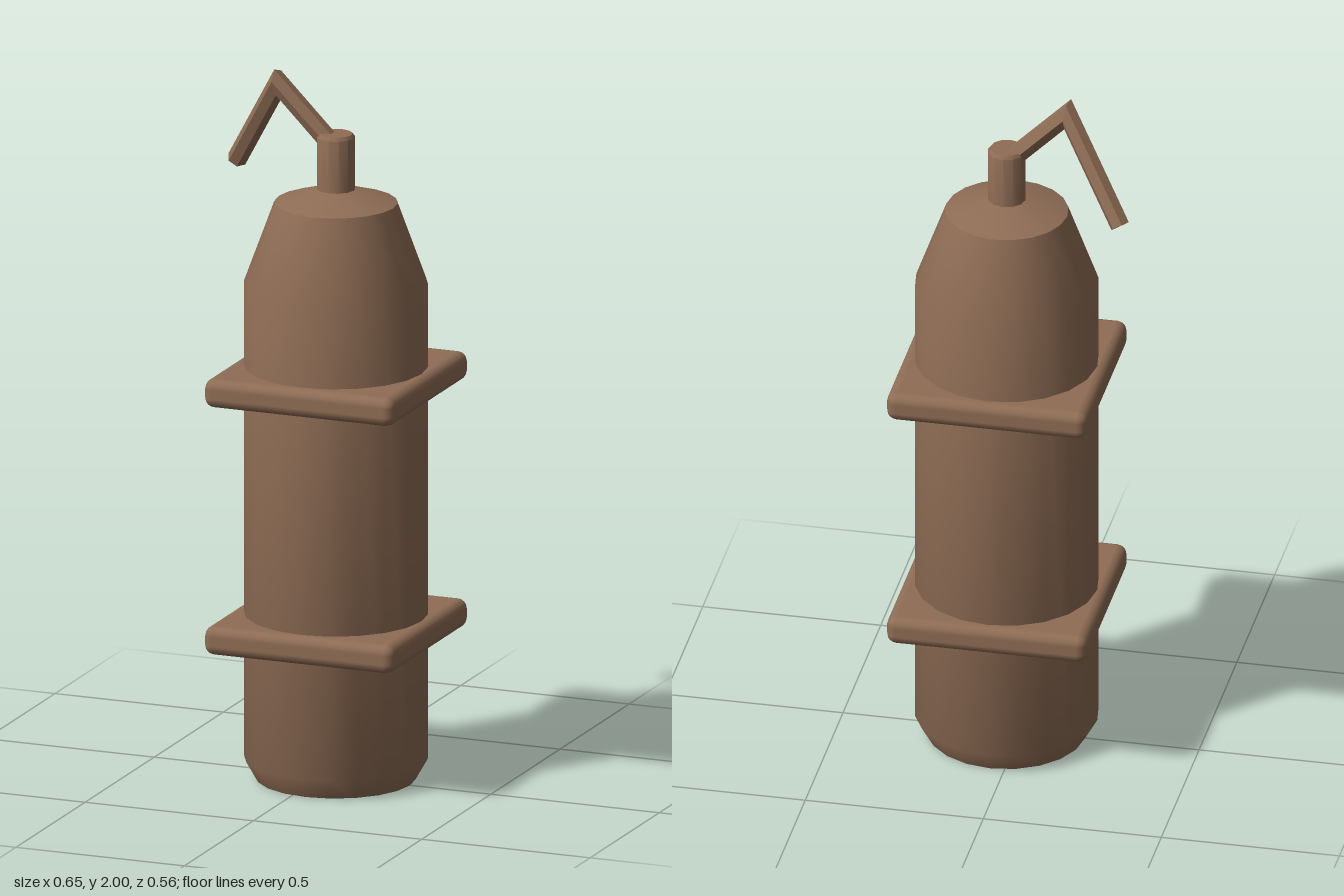
import * as THREE from 'three';
import { toCreasedNormals } from 'three/addons/utils/BufferGeometryUtils.js';
import { RoundedBoxGeometry } from 'three/addons/geometries/RoundedBoxGeometry.js';

const AXIS_X = 0.04;

// Turned part with crisp edges where the profile bends sharply
function turned(profile, sides) {
  const points = profile.map(([r, y]) => new THREE.Vector2(r, y));
  return toCreasedNormals(new THREE.LatheGeometry(points, sides), 0.6);
}

// Bent hexagonal bar: a straight run, a mitred elbow and a second run
function bentBar(start, elbow, end, radius) {
  const d1 = elbow.clone().sub(start).normalize();
  const d2 = end.clone().sub(elbow).normalize();
  const mitre = d1.clone().add(d2).normalize();
  const u = new THREE.Vector3(0, 0, 1);
  const v = d1.clone().cross(u);
  const slide = (offset, dir, normal) =>
    offset.clone().addScaledVector(dir, -offset.dot(normal) / dir.dot(normal));

  const rings = [[], [], []];
  for (let i = 0; i < 6; i++) {
    const a = (i * Math.PI) / 3;
    const first = u.clone().multiplyScalar(Math.cos(a) * radius)
      .addScaledVector(v, Math.sin(a) * radius);
    const middle = slide(first, d1, mitre);
    const last = slide(middle, d2, d2);
    rings[0].push(first.add(start));
    rings[1].push(middle.add(elbow));
    rings[2].push(last.add(end));
  }

  const corners = [];
  for (let i = 0; i < 6; i++) {
    const j = (i + 1) % 6;
    for (let k = 0; k < 2; k++) {
      const [a, b] = [rings[k], rings[k + 1]];
      corners.push(a[i], a[j], b[j], a[i], b[j], b[i]);
    }
    corners.push(start, rings[0][j], rings[0][i]);
    corners.push(end, rings[2][i], rings[2][j]);
  }
  const geometry = new THREE.BufferGeometry().setFromPoints(corners);
  geometry.computeVertexNormals();
  return geometry;
}

export function createModel() {
  const group = new THREE.Group();
  const brown = new THREE.MeshStandardMaterial({ color: 0x8f6d55 });
  brown.name = 'brown';

  const add = (name, geometry, x = 0, y = 0) => {
    const mesh = new THREE.Mesh(geometry, brown);
    mesh.name = name;
    mesh.position.set(x, y, 0);
    group.add(mesh);
  };

  // Tank with chamfered foot and tapered shoulder
  add('tank', turned([
    [0, 0], [0.22, 0], [0.254, 0.06], [0.254, 1.41], [0.17, 1.64], [0.04, 1.682], [0, 1.682],
  ], 20), AXIS_X);

  // Outlet neck
  add('neck', turned([
    [0, 1.64], [0.053, 1.64], [0.053, 1.826], [0.046, 1.836], [0, 1.836],
  ], 12), AXIS_X);

  // Square mounting collars
  for (const [name, y] of [['lowerCollar', 0.43], ['upperCollar', 1.135]]) {
    add(name, new RoundedBoxGeometry(0.564, 0.082, 0.564, 2, 0.028), AXIS_X, y);
  }

  // Bent outlet pipe
  add('outletPipe', bentBar(
    new THREE.Vector3(0.026, 1.805, 0),
    new THREE.Vector3(-0.131, 1.962, 0),
    new THREE.Vector3(-0.304, 1.696, -0.121),
    0.028,
  ));

  return group;
}
